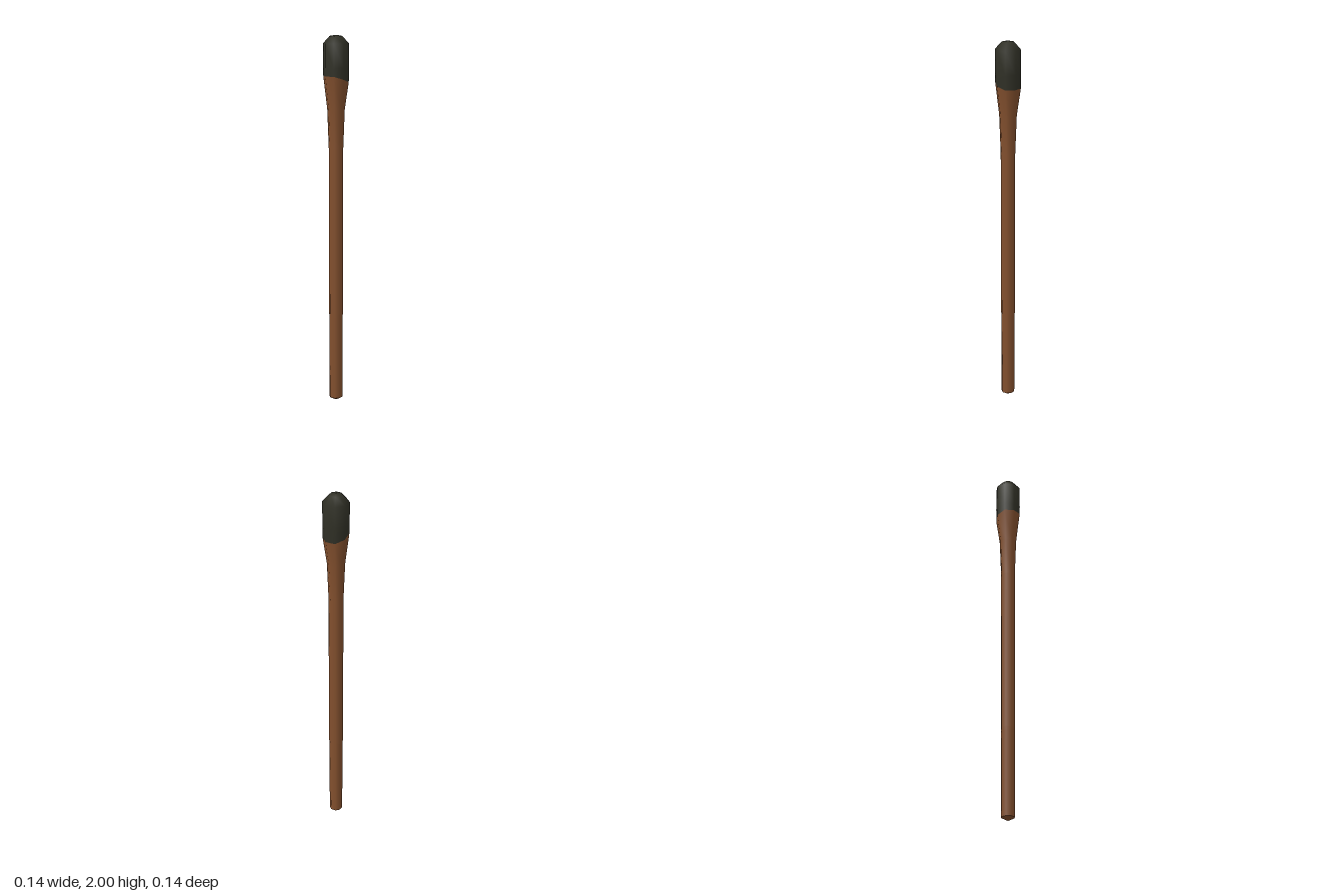
import * as THREE from 'three';

const SIDES = 8;
const RIM = 0.068;
const SEAM = 1.769;

export function createModel() {
  const group = new THREE.Group();
  const wood = new THREE.MeshStandardMaterial({ color: 0x83502e });
  wood.name = 'brown wood';
  const char = new THREE.MeshStandardMaterial({ color: 0x303026 });
  char.name = 'charred black';

  // Eight-sided turned part; points on the seam ring dip towards +x
  function turned(name, profile, material) {
    const points = profile.map(([r, y]) => new THREE.Vector2(r, y));
    const geometry = new THREE.LatheGeometry(points, SIDES);
    const pos = geometry.attributes.position;
    for (let i = 0; i < pos.count; i++) {
      if (Math.abs(pos.getY(i) - SEAM) < 1e-4) {
        const lean = THREE.MathUtils.clamp(pos.getX(i) / (RIM * 0.7), -1, 1);
        pos.setY(i, SEAM - 0.016 * lean);
      }
    }
    const mesh = new THREE.Mesh(geometry, material);
    mesh.name = name;
    group.add(mesh);
  }

  // Slightly pointed foot of the stick
  turned('stickEnd', [[0, 0], [0.036, 0.018]], wood);

  // Long handle flaring out to the head
  turned('handle', [
    [0.036, 0.018], [0.0365, 0.48], [0.039, 0.5], [0.039, 1.4],
    [0.047, 1.61], [RIM, SEAM],
  ], wood);

  // Burnt head with a bevelled top
  turned('head', [
    [RIM, SEAM], [RIM + 0.001, 1.83], [RIM + 0.001, 1.955],
    [0.034, 1.994], [0, 2],
  ], char);

  return group;
}
